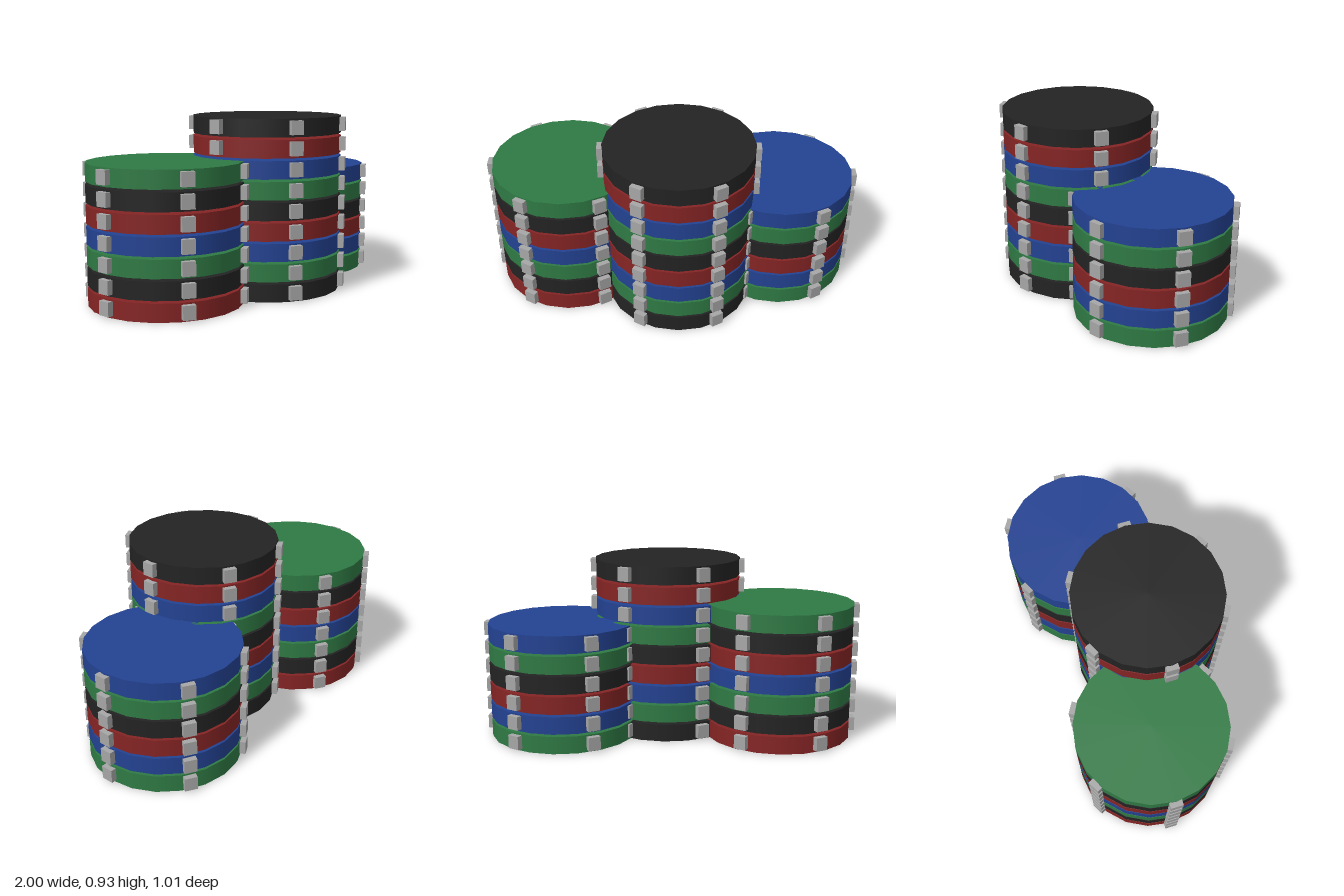
import * as THREE from 'three';

const material = (name, color) => {
  const m = new THREE.MeshStandardMaterial({ color });
  m.name = name;
  return m;
};

const RADIUS = 0.395, HEIGHT = 0.092, PITCH = 0.1045;

export function createModel() {
  const colours = {
    red: material('chipRed', 0x852424),
    black: material('chipBlack', 0x232323),
    green: material('chipGreen', 0x2f7a44),
    blue: material('chipBlue', 0x234292),
  };
  const grey = material('insertGrey', 0xa6a6a6);

  const discGeometry = new THREE.CylinderGeometry(RADIUS, RADIUS, HEIGHT, 20);
  const insertGeometry = new THREE.BoxGeometry(0.06, 0.071, 0.065);

  // One chip: a disc with six raised edge inserts
  function chip(colour) {
    const group = new THREE.Group();
    group.name = colour + 'Chip';
    const disc = new THREE.Mesh(discGeometry, colours[colour]);
    disc.name = 'disc';
    group.add(disc);
    for (let i = 0; i < 6; i++) {
      const a = (i * Math.PI) / 3;
      const insert = new THREE.Mesh(insertGeometry, grey);
      insert.name = 'edgeInsert';
      insert.position.set(Math.cos(a) * 0.39, 0.002, Math.sin(a) * 0.39);
      insert.rotation.y = -a;
      group.add(insert);
    }
    return group;
  }

  // Stacks repeat the same colour cycle, each starting at a different colour
  const cycle = ['red', 'black', 'green', 'blue'];
  const stacks = [
    { name: 'rightStack', x: -0.58, z: -0.058, count: 7, start: 0 },
    { name: 'middleStack', x: 0.025, z: 0.107, count: 9, start: 1 },
    { name: 'leftStack', x: 0.575, z: -0.112, count: 6, start: 2 },
  ];

  const model = new THREE.Group();
  model.name = 'chipStacks';
  for (const { name, x, z, count, start } of stacks) {
    const stack = new THREE.Group();
    stack.name = name;
    stack.position.set(x, 0, z);
    for (let i = 0; i < count; i++) {
      const c = chip(cycle[(start + i) % 4]);
      c.position.y = HEIGHT / 2 + i * PITCH;
      stack.add(c);
    }
    model.add(stack);
  }
  return model;
}
